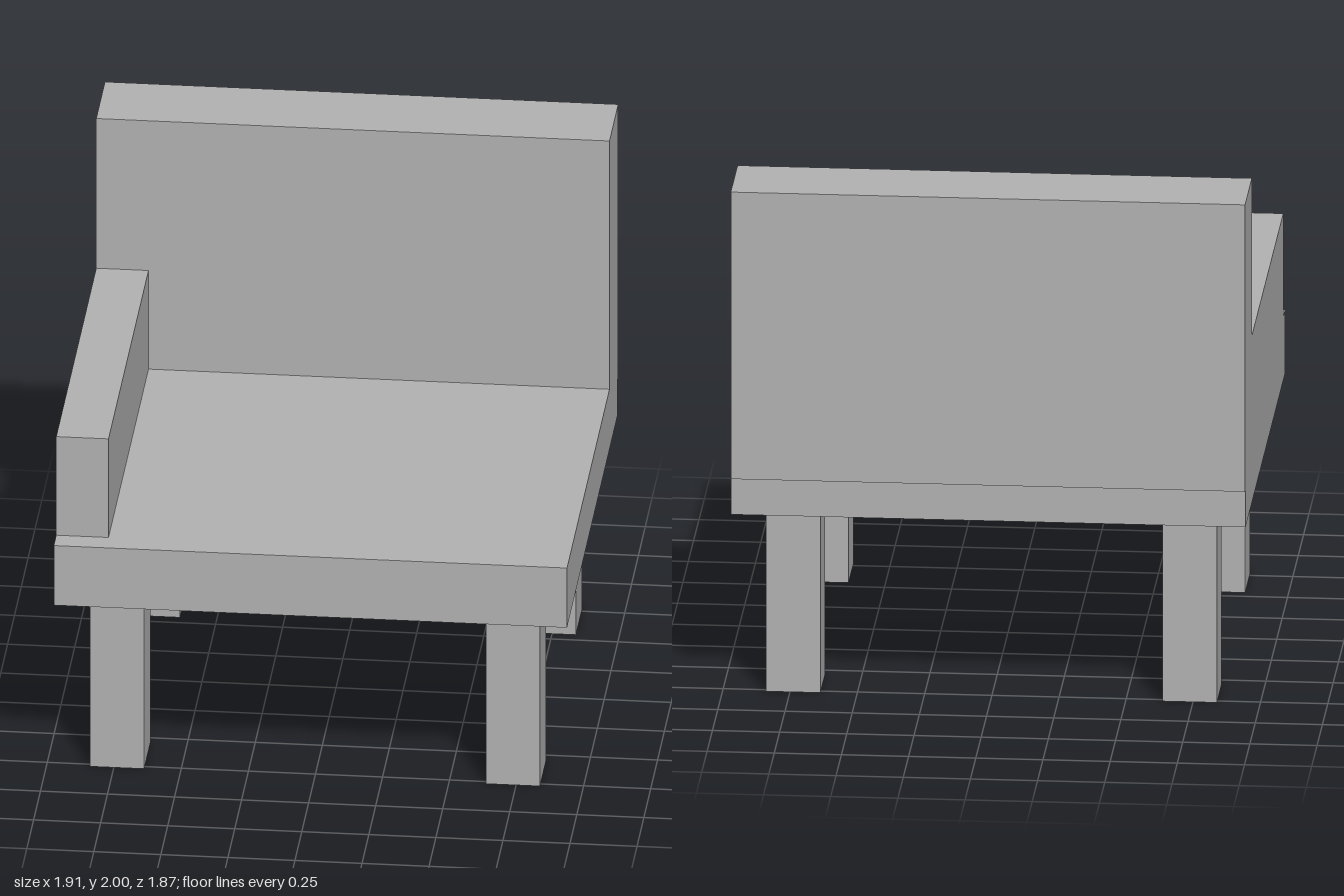
import * as THREE from 'three';

export function createModel() {
  const model = new THREE.Group();
  model.name = 'oneArmedChair';
  const grey = new THREE.MeshStandardMaterial({ color: 0xb2b2b2 });
  grey.name = 'plain grey';

  const add = (name, geometry) => {
    const mesh = new THREE.Mesh(geometry, grey);
    mesh.name = name;
    model.add(mesh);
    return mesh;
  };
  // Box given by its limits on each axis
  const block = (name, [x0, x1], [y0, y1], [z0, z1]) => {
    const mesh = add(name, new THREE.BoxGeometry(x1 - x0, y1 - y0, z1 - z0));
    mesh.position.set((x0 + x1) / 2, (y0 + y1) / 2, (z0 + z1) / 2);
  };

  const W = 0.957, seatTop = 0.98, seatBottom = 0.735;
  const seatBack = -0.915, backFront = -0.617, rear = -0.935;

  block('seat', [-W, W], [seatBottom, seatTop], [seatBack, 0.935]);
  block('rightArmrest', [-W, -0.762], [seatTop, 1.385], [backFront, 0.845]);

  // Backrest: side profile with a thin lip that hangs behind the seat
  const profile = new THREE.Shape([
    [-backFront, seatTop], [-backFront, 2], [-rear, 2],
    [-rear, 0.88], [-seatBack, 0.88], [-seatBack, seatTop],
  ].map(([z, y]) => new THREE.Vector2(z, y)));
  const back = new THREE.ExtrudeGeometry(profile, { depth: 2 * W, bevelEnabled: false });
  back.translate(0, 0, -W).rotateY(Math.PI / 2);
  add('backrest', back);

  // Four square legs, set in from the corners
  for (const [side, sx] of [['Left', 1], ['Right', -1]]) {
    for (const [end, sz] of [['front', 1], ['back', -1]]) {
      const leg = add(`${end}${side}Leg`, new THREE.BoxGeometry(0.202, seatBottom, 0.224));
      leg.position.set(sx * 0.738, seatBottom / 2, sz * 0.657);
    }
  }
  return model;
}
